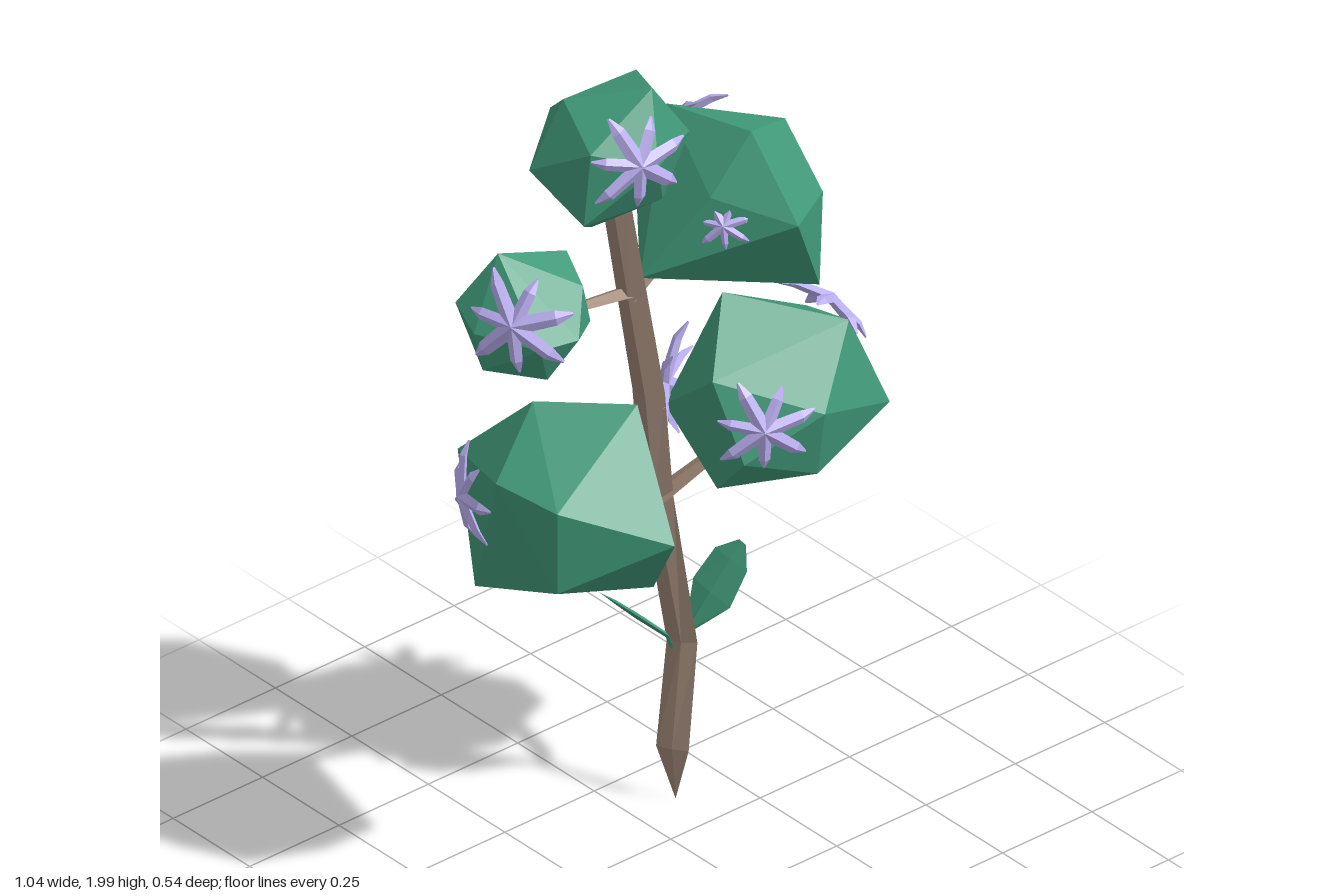
import * as THREE from 'three';
import { ConvexGeometry } from 'three/addons/geometries/ConvexGeometry.js';

const V = (p) => new THREE.Vector3(...p);
const mat = (color) => new THREE.MeshStandardMaterial({ color, flatShading: true, side: THREE.DoubleSide });
const green = mat(0x419a7a), bark = mat(0xa08878), lilac = mat(0xbcb0f2);

// Four-sided loft: rows of [x, y, z, halfWidth, halfThickness]; width runs along `across`
function loft(rows, across) {
  const pos = [], index = [];
  const pts = rows.map((r) => V(r.slice(0, 3)));
  rows.forEach((r, i) => {
    const t = pts[Math.min(i + 1, rows.length - 1)].clone().sub(pts[Math.max(i - 1, 0)]).normalize();
    const u = V(across).addScaledVector(t, -V(across).dot(t)).normalize();
    const v = t.clone().cross(u);
    for (let j = 0; j < 4; j++) {
      const a = j * Math.PI / 2;
      const p = pts[i].clone().addScaledVector(u, Math.cos(a) * r[3]).addScaledVector(v, Math.sin(a) * r[4]);
      pos.push(p.x, p.y, p.z);
      if (i < rows.length - 1) {
        const k = i * 4 + j, n = i * 4 + (j + 1) % 4;
        index.push(k, n, n + 4, k, n + 4, k + 4);
      }
    }
  });
  const g = new THREE.BufferGeometry();
  g.setAttribute('position', new THREE.Float32BufferAttribute(pos, 3));
  g.setIndex(index);
  g.computeVertexNormals();
  return g;
}

// Corner points of each faceted foliage clump
const clumps = {
  topFoliage: [
    [-0.13, 2, 0.09], [-0.31, 1.91, 0.1], [-0.045, 1.94, -0.06], [-0.025, 1.85, 0.09], [-0.18, 1.86, 0.17],
    [-0.2, 1.86, -0.16], [-0.345, 1.81, -0.06], [-0.245, 1.67, 0.03], [-0.05, 1.77, -0.07],
    [-0.32, 1.73, 0.09], [-0.1, 1.71, 0.09], [-0.25, 1.95, -0.06]],
  upperLeftFoliage: [
    [-0.06, 1.435, -0.03], [0.1, 1.76, -0.13], [0.165, 1.76, 0.07], [0.345, 1.67, -0.03], [0.345, 1.4, -0.03],
    [0.19, 1.57, 0.195], [0.34, 1.55, 0.1], [0.21, 1.55, -0.2], [0.02, 1.55, -0.135],
    [0.305, 1.345, 0.13], [0.105, 1.345, -0.13], [0.06, 1.63, 0.06]],
  upperRightFoliage: [
    [-0.415, 1.62, -0.08], [-0.24, 1.565, -0.06], [-0.225, 1.41, 0], [-0.235, 1.365, -0.04], [-0.36, 1.475, 0.12],
    [-0.5, 1.385, -0.03], [-0.508, 1.47, -0.05], [-0.487, 1.5, -0.135], [-0.405, 1.37, 0.07],
    [-0.34, 1.5, -0.17], [-0.38, 1.39, -0.14], [-0.45, 1.475, 0.1], [-0.28, 1.54, 0.04]],
  lowerRightFoliage: [
    [-0.04, 0.875, -0.11], [-0.3, 1.19, -0.1], [-0.145, 1.195, 0.06], [-0.365, 1.015, -0.27], [-0.22, 0.97, 0.27],
    [-0.455, 1.075, -0.04], [-0.445, 0.775, -0.12], [-0.16, 0.775, 0.13], [-0.42, 1.06, 0.12],
    [-0.42, 0.86, 0.12], [-0.13, 1.01, 0.09], [-0.13, 1.02, -0.13]],
  lowerLeftFoliage: [
    [0.23, 1.245, -0.1], [0.43, 1.18, 0.08], [0.45, 1.13, -0.08], [0.51, 0.96, 0.12], [0.485, 0.87, -0.04],
    [0.29, 1.04, 0.165], [0.385, 1.03, -0.165], [0.1, 1.13, 0.02], [0.13, 0.84, 0],
    [0.12, 0.98, -0.16], [0.3, 0.87, 0.13], [0.28, 0.87, -0.15], [0.12, 0.95, 0.1]],
};

// Flowers: centre, facing direction, radius
const flowers = [
  [[-0.235, 1.89, 0.175], [-0.25, 0.15, 1], 0.105],
  [[-0.475, 1.52, 0.04], [-1, 0.3, 0.5], 0.11],
  [[0.07, 1.57, 0.09], [-0.7, 0.3, 0.65], 0.055],
  [[0.15, 1.685, -0.165], [0, 0.5, -0.85], 0.105],
  [[-0.465, 1, -0.14], [-1, 0, -0.45], 0.1],
  [[0.16, 1.03, 0.12], [-0.5, 0.1, 0.85], 0.1],
  [[0.455, 1.18, -0.01], [0.72, 0.7, 0], 0.11],
  [[0.12, 1.03, -0.16], [-0.55, 0, -0.8], 0.12],
];

// Star of seven slim petals that droop slightly over the foliage
function flower(radius) {
  const group = new THREE.Group();
  const petal = loft([
    [0, 0, 0.02, 0.17, 0.1], [0.8, 0, -0.13, 0.14, 0.08], [1.08, 0, -0.28, 0.03, 0.02]], [0, 1, 0]);
  for (let i = 0; i < 7; i++) {
    const m = new THREE.Mesh(petal, lilac);
    m.name = 'petal';
    m.rotation.z = i * Math.PI * 2 / 7 + 0.2;
    m.scale.setScalar(radius * (i % 2 ? 0.92 : 1.08));
    group.add(m);
  }
  return group;
}

export function createModel() {
  const root = new THREE.Group();
  const add = (name, geometry, material) => {
    const m = new THREE.Mesh(geometry, material);
    m.name = name;
    root.add(m);
  };

  // Blade-like trunk, thickening above the leaves
  add('trunk', loft([
    [0.112, 0.01, -0.115, 0, 0], [0.103, 0.14, -0.115, 0.036, 0.004], [0.13, 0.4, -0.115, 0.034, 0.008],
    [0.06, 0.8, -0.115, 0.036, 0.02], [0.005, 1.1, -0.078, 0.036, 0.026], [-0.075, 1.4, -0.04, 0.034, 0.026],
    [-0.17, 1.74, 0.01, 0.032, 0.022], [-0.18, 1.78, 0.02, 0, 0]], [0.55, 0, 0.83]), bark);

  // Branches reaching into the side clumps
  const branches = [
    [[0.06, 0.79, -0.115], [-0.08, 0.89, -0.1]],
    [[0.055, 0.79, -0.115], [0.19, 0.92, -0.03]],
    [[-0.075, 1.4, -0.045], [-0.26, 1.43, -0.04]],
    [[-0.08, 1.39, -0.045], [0.02, 1.47, -0.03]]];
  for (const [a, b] of branches) add('branch', loft([[...a, 0.025, 0.014], [...b, 0.016, 0.008]], [0, 0, 1]), bark);

  for (const [name, points] of Object.entries(clumps)) add(name, new ConvexGeometry(points.map(V)), green);

  // Two leaves on thin stalks low on the trunk
  add('leftLeaf', loft([
    [0.13, 0.33, -0.12, 0.004, 0.004], [0.145, 0.42, -0.115, 0.008, 0.005], [0.2, 0.5, -0.1, 0.065, 0.006],
    [0.25, 0.565, -0.095, 0.055, 0.004], [0.278, 0.6, -0.09, 0.012, 0]], [0, 0, 1]), green);
  add('rightLeaf', loft([
    [0.13, 0.33, -0.12, 0.004, 0.004], [0.11, 0.41, -0.14, 0.008, 0.005], [0.05, 0.47, -0.17, 0.045, 0.006],
    [0, 0.52, -0.18, 0.045, 0.004], [-0.037, 0.555, -0.185, 0.012, 0]], [0, 0, 1]), green);

  for (const [centre, facing, radius] of flowers) {
    const f = flower(radius);
    f.name = 'flower';
    f.position.set(...centre);
    f.quaternion.setFromUnitVectors(new THREE.Vector3(0, 0, 1), V(facing).normalize());
    root.add(f);
  }
  return root;
}
